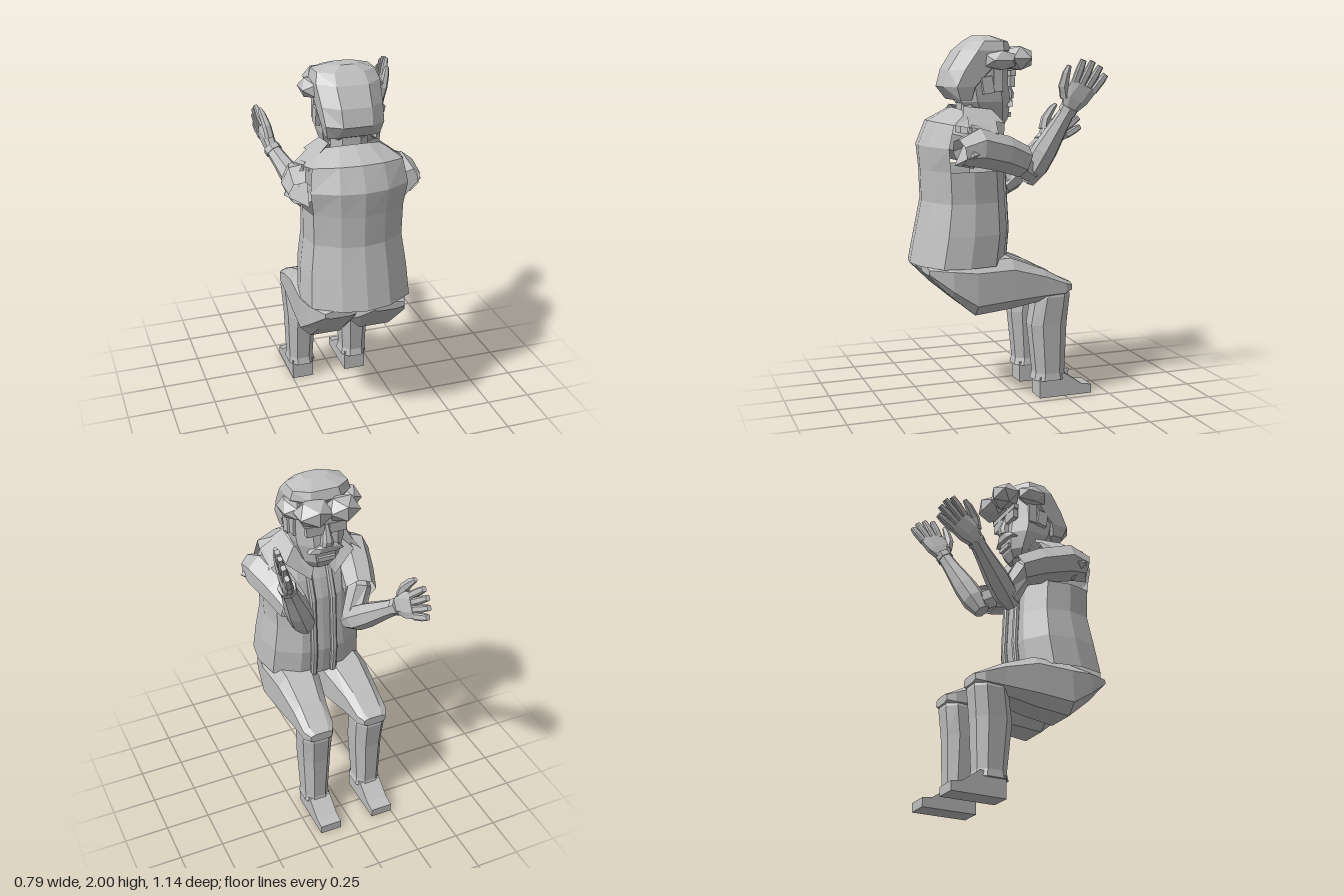
import * as THREE from 'three';

const CX = -0.025; // body centre line
const grey = new THREE.MeshStandardMaterial({ color: 0xbfbfbf, side: THREE.DoubleSide });
grey.name = 'plain grey';

function add(parent, name, geo) {
  const flat = geo.index ? geo.toNonIndexed() : geo;
  flat.computeVertexNormals(); // faceted look
  const m = new THREE.Mesh(flat, grey);
  m.name = name;
  parent.add(m);
  return m;
}

// Skin a list of rings (equal point counts); skip(row, col) leaves a hole
function loft(rings, { caps = true, skip = () => false } = {}) {
  const n = rings[0].length, pos = rings.flat(2), idx = [];
  for (let r = 0; r < rings.length - 1; r++) for (let i = 0; i < n; i++) {
    if (skip(r, i)) continue;
    const a = r * n + i, b = r * n + (i + 1) % n;
    idx.push(a, b, b + n, a, b + n, a + n);
  }
  if (caps) for (let i = 1; i < n - 1; i++) {
    const e = (rings.length - 1) * n;
    idx.push(0, i + 1, i, e, e + i, e + i + 1);
  }
  const g = new THREE.BufferGeometry();
  g.setAttribute('position', new THREE.Float32BufferAttribute(pos, 3));
  g.setIndex(idx);
  return g;
}

// Eight-point chamfered rectangle
function chamfer(u0, u1, v0, v1, k = 0.25) {
  const a = (u1 - u0) * k, b = (v1 - v0) * k;
  return [[u0 + a, v0], [u1 - a, v0], [u1, v0 + b], [u1, v1 - b],
    [u1 - a, v1], [u0 + a, v1], [u0, v1 - b], [u0, v0 + b]];
}
const flatRing = (y, x0, x1, z0, z1, k) => chamfer(x0, x1, z0, z1, k).map(([x, z]) => [x, y, z]);

// Limb through [x, y, z, radius] stations
function limb(stations, sides = 7, caps = true) {
  const P = stations.map(s => new THREE.Vector3(s[0], s[1], s[2]));
  return loft(stations.map((s, i) => {
    const t = P[Math.min(i + 1, P.length - 1)].clone().sub(P[Math.max(i - 1, 0)]).normalize();
    const u = new THREE.Vector3(0, 1, 0).cross(t).normalize(), v = t.clone().cross(u);
    return Array.from({ length: sides }, (_, k) => {
      const a = k / sides * Math.PI * 2;
      return P[i].clone().addScaledVector(u, Math.cos(a) * s[3]).addScaledVector(v, Math.sin(a) * s[3]).toArray();
    });
  }), { caps });
}

// Open hand: local y along the fingers, z towards the thumb
function hand(name, wrist, tip, spread) {
  const g = new THREE.Group();
  g.name = name;
  const y = new THREE.Vector3(...tip).sub(new THREE.Vector3(...wrist)).normalize();
  const x = y.clone().cross(new THREE.Vector3(0, 0.6, 0.8)).normalize();
  g.matrix.makeBasis(x, y, x.clone().cross(y)).setPosition(...wrist);
  g.matrix.decompose(g.position, g.quaternion, g.scale);
  add(g, 'palm', loft([
    flatRing(-0.02, -0.03, 0.03, -0.035, 0.035),
    flatRing(0.06, -0.03, 0.03, -0.07, 0.075),
    flatRing(0.145, -0.022, 0.022, -0.085, 0.06),
  ]));
  for (let i = 0; i < 4; i++) {
    const f = add(g, 'finger', loft([
      flatRing(0, -0.019, 0.019, -0.019, 0.019, 0.2),
      flatRing(0.07, -0.018, 0.018, -0.02, 0.02, 0.2),
      flatRing([0.11, 0.135, 0.14, 0.125][i], -0.012, 0.012, -0.015, 0.015, 0.2),
    ]));
    f.position.set(0, 0.135, -0.068 + i * 0.037);
    f.rotation.x = (i - 1.5) * spread;
  }
  const t = add(g, 'thumb', limb([[0, 0.04, 0.05, 0.03], [0, 0.09, 0.09, 0.028], [0, 0.16, 0.11, 0.022], [0, 0.2, 0.115, 0.012]], 6));
  t.scale.x = 0.9;
  return g;
}

function addLeg(root, s) {
  const leg = new THREE.Group();
  leg.name = s > 0 ? 'leftLeg' : 'rightLeg';
  leg.position.x = CX;
  leg.scale.x = s;
  // Seat and thigh: [z, x0, x1, y0, y1]
  add(leg, 'thigh', loft([
    [0.53, 0.05, 0.22, 0.74, 0.78], [0.41, 0.02, 0.27, 0.62, 0.8], [0.28, 0.0, 0.285, 0.51, 0.81],
    [0.07, 0.02, 0.275, 0.53, 0.81], [-0.12, 0.06, 0.26, 0.56, 0.735], [-0.24, 0.075, 0.255, 0.58, 0.67],
    [-0.285, 0.1, 0.23, 0.6, 0.65],
  ].map(([z, a, b, c, d]) => chamfer(a, b, c, d, 0.2).map(([x, y]) => [x, y, z]))));
  // Shin with trouser cuff
  add(leg, 'shin', loft([
    flatRing(0.64, 0.09, 0.24, -0.27, -0.12), flatRing(0.58, 0.075, 0.255, -0.28, -0.08),
    flatRing(0.42, 0.08, 0.245, -0.265, -0.055), flatRing(0.14, 0.095, 0.235, -0.255, -0.085),
    flatRing(0.1, 0.085, 0.24, -0.265, -0.075),
  ]));
  const side = new THREE.Shape([[0.1, 0], [0.41, 0], [0.41, 0.05], [0.35, 0.06], [0.25, 0.13], [0.1, 0.12]]
    .map(p => new THREE.Vector2(...p)));
  const shoe = add(leg, 'shoe', new THREE.ExtrudeGeometry(side, { depth: 0.125, bevelEnabled: false }));
  shoe.rotation.y = Math.PI / 2;
  shoe.position.x = 0.1;
  root.add(leg);
}

function addTorso(root) {
  const half = [[0, 1], [0.45, 0.9], [0.92, 0.55], [1, 0], [0.9, -0.6], [0.45, -0.95], [0, -1]];
  const outline = [...half, ...half.slice(1, 6).reverse().map(([x, z]) => [-x, z])];
  // [y, half width, back z, front z, drop of the front edge]
  const rings = [
    [0.78, 0.295, 0.58, 0.07, 0], [0.95, 0.285, 0.545, 0.05, 0], [1.12, 0.262, 0.51, 0.06, 0],
    [1.29, 0.265, 0.515, 0.07, 0], [1.42, 0.285, 0.525, 0.1, 0.02], [1.55, 0.265, 0.47, 0.14, 0.06],
    [1.62, 0.17, 0.34, 0.15, 0.08],
  ].map(([y, w, b, f, drop]) => outline.map(([x, z]) =>
    [CX + x * w, y - drop * (1 - z) / 2, (b + f) / 2 + z * (b - f) / 2]));
  // Armholes are left open
  add(root, 'shirt', loft(rings, {
    caps: false, skip: (r, i) => r >= 3 && r <= 4 && [2, 3, 8, 9].includes(i),
  }));
  for (const s of [-1, 1]) {
    // Front edges of the shirt
    const strip = add(root, 'placket', loft([
      flatRing(0.79, -0.018, 0.018, 0.045, 0.075), flatRing(0.95, -0.018, 0.018, 0.03, 0.06),
      flatRing(1.29, -0.018, 0.018, 0.05, 0.08), flatRing(1.5, -0.018, 0.018, 0.13, 0.16),
    ]));
    strip.position.x = CX + s * 0.06;
    // Collar flap
    const p = (x, y, z) => [CX + s * x, y, z];
    add(root, 'collar', loft([
      [p(0.13, 1.63, 0.31), p(0.13, 1.61, 0.15), p(0.03, 1.51, 0.1)],
      [p(0.19, 1.58, 0.33), p(0.2, 1.54, 0.1), p(0.07, 1.43, 0.06)],
    ], { caps: false }));
  }
}

function addArm(root, name, s, elbow, wrist, tip) {
  const arm = new THREE.Group();
  arm.name = name;
  const X = x => CX + s * x;
  add(arm, 'sleeve', limb([[X(0.29), 1.4, 0.38, 0.07], [X(0.265), 1.42, 0.28, 0.105],
    [X(0.225), 1.38, 0.12, 0.1], [X(0.195), 1.33, 0.0, 0.09]], 7, false));
  // Pointed fold and shoulder cap
  add(arm, 'sleeveFold', loft([
    [[X(0.25), 1.54, 0.3], [X(0.375), 1.385, 0.33], [X(0.26), 1.33, 0.4]],
    [[X(0.25), 1.52, 0.22], [X(0.33), 1.4, 0.24], [X(0.27), 1.31, 0.3]],
  ]));
  add(arm, 'shoulder', loft([
    [[X(0.15), 1.61, 0.3], [X(0.26), 1.53, 0.32], [X(0.3), 1.42, 0.34]],
    [[X(0.16), 1.58, 0.14], [X(0.27), 1.49, 0.16], [X(0.3), 1.38, 0.16]],
  ], { caps: false }));
  add(arm, 'upperArm', limb([[X(0.22), 1.4, 0.18, 0.075], [X(0.195), 1.33, 0.02, 0.07],
    [elbow[0], elbow[1], elbow[2], 0.065]]));
  const mix = t => elbow.map((e, i) => e + (wrist[i] - e) * t);
  add(arm, 'forearm', limb([[...mix(-0.15), 0.045], [...mix(0.08), 0.072], [...mix(0.35), 0.07],
    [...mix(0.75), 0.05], [...mix(1), 0.042]]));
  add(arm, 'wristband', limb([[...mix(0.93), 0.05], [...mix(1.02), 0.05]]));
  arm.add(hand(name + 'Hand', wrist, tip, 0.1));
  root.add(arm);
}

function addHead(root) {
  const head = new THREE.Group();
  head.name = 'head';
  head.position.x = CX;
  const stack = rows => loft(rows.map(([y, w, b, f, k]) => flatRing(y, -w, w, f, b, k)));
  add(head, 'neck', stack([[1.48, 0.1, 0.3, 0.14], [1.7, 0.1, 0.29, 0.13]]));
  add(head, 'face', stack([[1.5, 0.06, 0.17, 0.06], [1.55, 0.1, 0.22, 0.03], [1.65, 0.135, 0.3, 0.02],
    [1.75, 0.145, 0.32, 0.035], [1.9, 0.145, 0.3, 0.04]]));
  add(head, 'hair', stack([[1.66, 0.14, 0.34, 0.25, 0.15], [1.73, 0.155, 0.4, 0.2], [1.82, 0.162, 0.375, 0.1],
    [1.92, 0.17, 0.31, 0.02], [1.97, 0.155, 0.25, 0.04], [2.0, 0.07, 0.21, 0.12]]));
  // Swept tufts above the brow: [x, y, z, rx, ry, rz]
  for (const [x, y, z, a, b, c] of [[-0.07, 1.88, -0.02, 0.1, 0.075, 0.09], [0.085, 1.88, -0.01, 0.11, 0.075, 0.1],
    [-0.16, 1.87, 0.11, 0.07, 0.06, 0.1], [0.16, 1.87, 0.11, 0.07, 0.06, 0.1]]) {
    const tuft = add(head, 'hairTuft', new THREE.IcosahedronGeometry(1, 0));
    tuft.position.set(x, y, z);
    tuft.scale.set(a, b, c);
  }
  const box = (name, w, h, d, x, y, z, rx = 0) => {
    const m = add(head, name, new THREE.BoxGeometry(w, h, d));
    m.position.set(x, y, z);
    m.rotation.x = rx;
  };
  for (const s of [-1, 1]) {
    box('ear', 0.03, 0.09, 0.06, s * 0.15, 1.74, 0.18, 0.15);
    box('sideburn', 0.015, 0.13, 0.05, s * 0.148, 1.77, 0.12);
    box('eyePiece', 0.1, 0.055, 0.03, s * 0.065, 1.755, 0.025);
  }
  box('brow', 0.25, 0.03, 0.03, 0, 1.8, 0.025);
  add(head, 'nose', stack([[1.66, 0.035, 0.05, -0.015], [1.69, 0.03, 0.05, -0.02], [1.78, 0.015, 0.05, 0.015]]));
  add(head, 'moustache', stack([[1.62, 0.1, 0.06, 0.0], [1.65, 0.07, 0.06, -0.005], [1.665, 0.03, 0.05, 0.0]]));
  box('lowerLip', 0.1, 0.025, 0.03, 0, 1.575, 0.025);
  root.add(head);
}

export function createModel() {
  const root = new THREE.Group();
  root.name = 'seatedFigure';
  addLeg(root, 1);
  addLeg(root, -1);
  addTorso(root);
  addArm(root, 'leftArm', 1, [0.15, 1.27, -0.07], [0.3, 1.62, -0.22], [0.38, 1.88, -0.34]);
  addArm(root, 'rightArm', -1, [-0.16, 1.18, -0.04], [-0.29, 1.4, -0.31], [-0.34, 1.57, -0.55]);
  addHead(root);
  return root;
}
